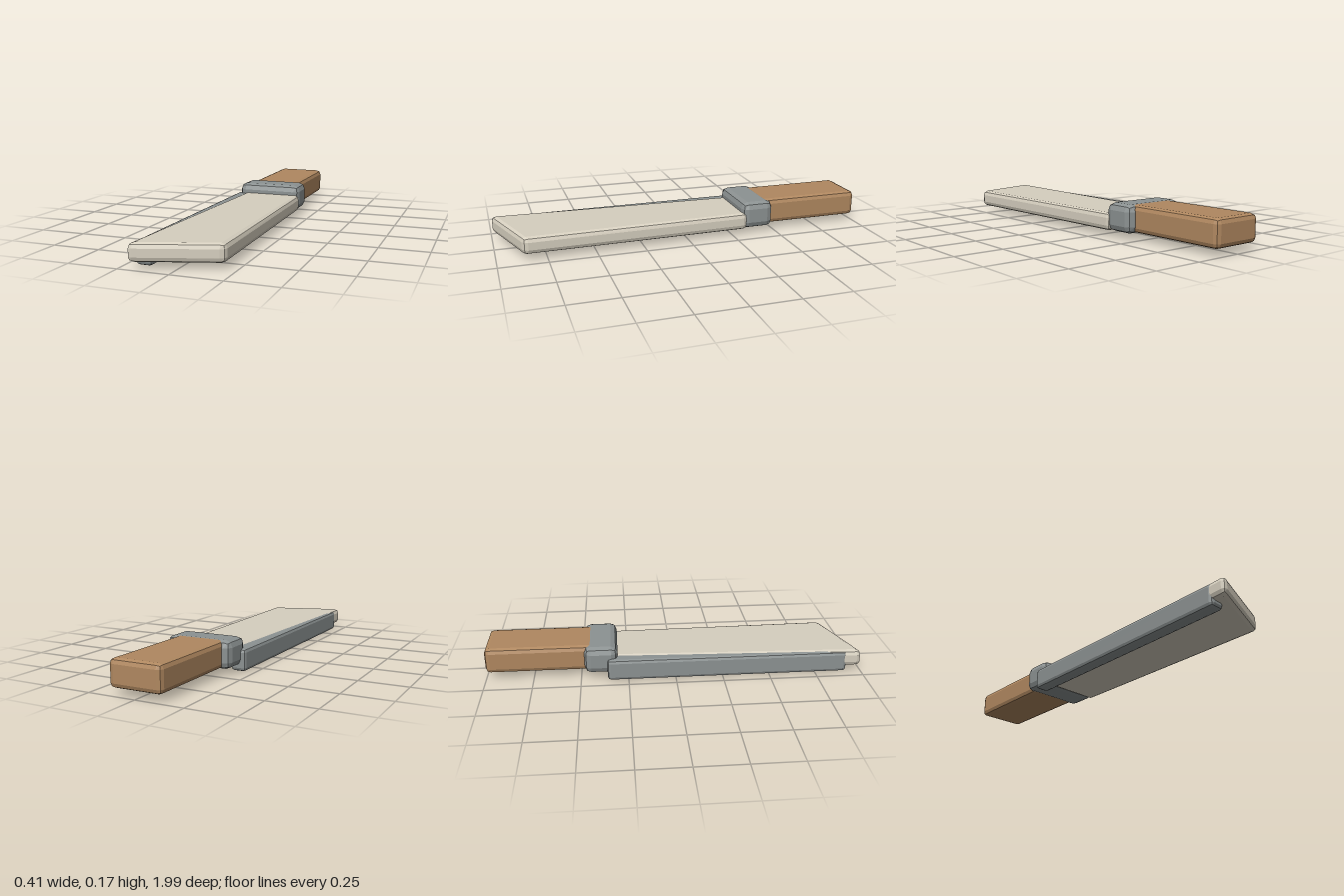
import * as THREE from 'three';
import { RoundedBoxGeometry } from 'three/addons/geometries/RoundedBoxGeometry.js';

// Box with a two-step bevel, given by its [min, max] range on each axis
function bevelBox(name, [x0, x1], [y0, y1], [z0, z1], radius, color) {
  const geometry = new RoundedBoxGeometry(x1 - x0, y1 - y0, z1 - z0, 1, radius);
  geometry.translate((x0 + x1) / 2, (y0 + y1) / 2, (z0 + z1) / 2);
  const material = new THREE.MeshStandardMaterial({ color, flatShading: true });
  const mesh = new THREE.Mesh(geometry, material);
  mesh.name = name;
  return mesh;
}

// Tapered blade: widens toward the tip, which is cut at a slant
function makeBlade() {
  const zBack = -0.33, zTip = 1;
  const blade = bevelBox('blade', [-0.205, 0.205], [0.03, 0.12], [zBack, zTip], 0.025, 0xd6cfbf);
  const p = blade.geometry.attributes.position;
  const lerp = THREE.MathUtils.lerp;
  for (let i = 0; i < p.count; i++) {
    const across = (p.getX(i) + 0.205) / 0.41;
    const along = (p.getZ(i) - zBack) / (zTip - zBack);
    p.setX(i, lerp(lerp(-0.15, -0.206, along), lerp(0.182, 0.206, along), across));
    p.setZ(i, lerp(zBack, lerp(zTip, 0.865, across), along));
  }
  blade.geometry.computeVertexNormals();
  return blade;
}

export function createModel() {
  const model = new THREE.Group();
  model.name = 'cleaver';
  const steel = 0x8c9292;
  model.add(
    makeBlade(),
    // Straight bar along one long edge, dropping below the blade
    bevelBox('edgeBar', [-0.204, -0.123], [0, 0.115], [-0.36, 0.92], 0.018, steel),
    bevelBox('guard', [-0.18, 0.18], [0.03, 0.174], [-0.48, -0.305], 0.035, steel),
    bevelBox('handle', [-0.138, 0.138], [0.034, 0.172], [-1, -0.42], 0.025, 0xb08860),
  );
  return model;
}
